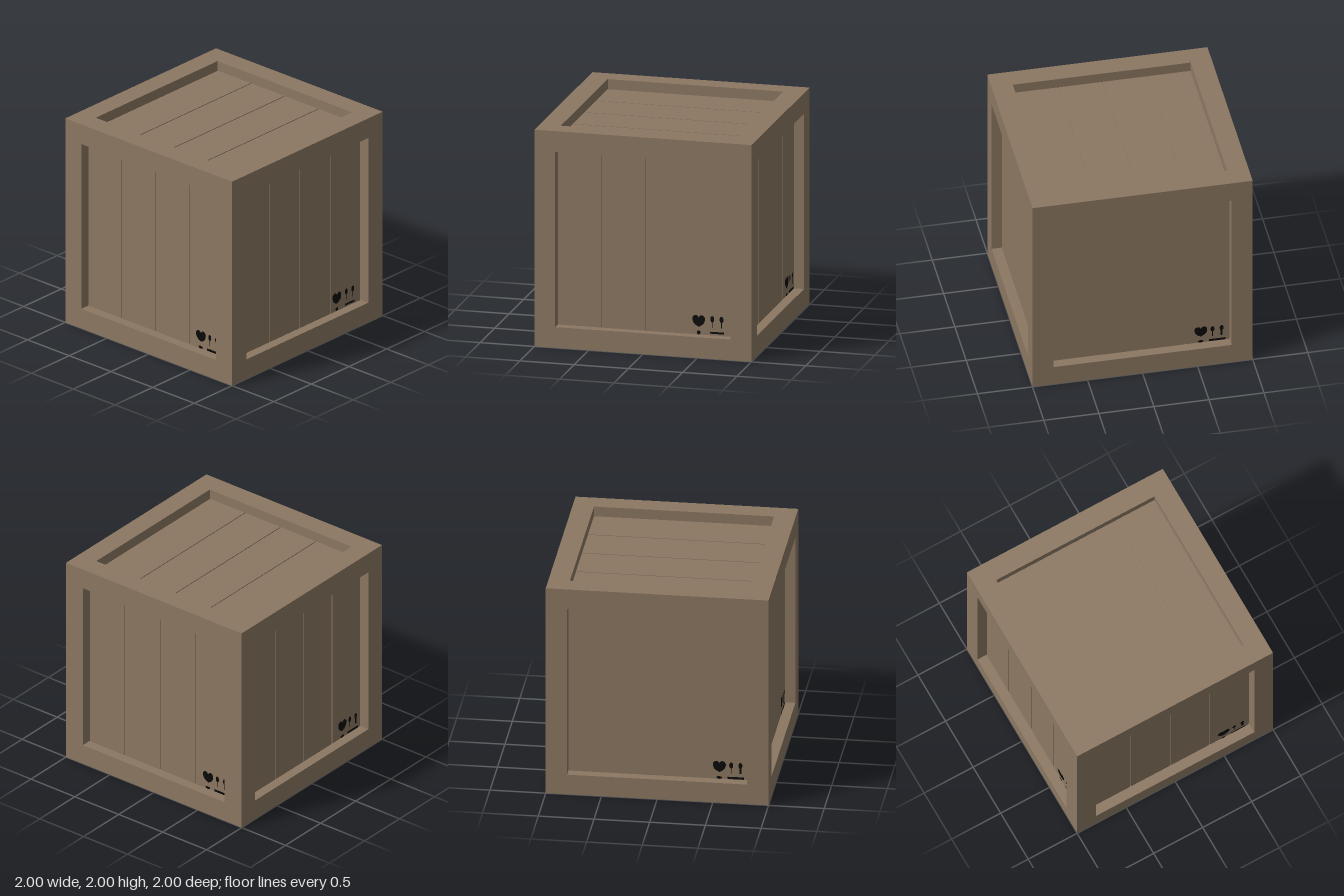
import * as THREE from 'three';

const WOOD = new THREE.MeshStandardMaterial({ name: 'brown wood', color: 0x8c7862 });
const INK = new THREE.MeshStandardMaterial({ name: 'black stencil ink', color: 0x0a0a0a });

const HALF = 1;        // half the crate's size
const BEAM = 0.192;    // frame beam thickness
const INNER = HALF - BEAM;
const FACE = 0.908;    // plank surface, distance from the centre
const GROOVE = 0.01;

function box(name, w, h, d, x, y, z) {
  const mesh = new THREE.Mesh(new THREE.BoxGeometry(w, h, d), WOOD);
  mesh.name = name;
  mesh.position.set(x, y, z);
  return mesh;
}

// Shapes of the stencilled marks, in the plane of a side
function ellipse(x, y, rx, ry) {
  return new THREE.Shape().absellipse(x, y, rx, ry, 0, Math.PI * 2);
}

function bar(x0, x1, y0, y1) {
  return new THREE.Shape([[x0, y0], [x1, y0], [x1, y1], [x0, y1]].map(([x, y]) => new THREE.Vector2(x, y)));
}

function heart(x, y) {
  const s = new THREE.Shape();
  s.moveTo(x, y + 0.03);
  s.bezierCurveTo(x + 0.015, y + 0.065, x + 0.05, y + 0.055, x + 0.058, y + 0.025);
  s.bezierCurveTo(x + 0.06, y - 0.02, x + 0.035, y - 0.04, x, y - 0.055);
  s.bezierCurveTo(x - 0.035, y - 0.04, x - 0.06, y - 0.02, x - 0.058, y + 0.025);
  s.bezierCurveTo(x - 0.05, y + 0.055, x - 0.015, y + 0.065, x, y + 0.03);
  return s;
}

function pin(x, y, stem) {
  return [ellipse(x, y, 0.018, 0.029), bar(x - stem / 2, x + stem / 2, y - 0.08, y - 0.02)];
}

const frontMarks = [
  heart(0.49, 0.32), ...pin(0.615, 0.342, 0.007), ...pin(0.7, 0.342, 0.007),
  ellipse(0.49, 0.212, 0.018, 0.018), bar(0.595, 0.725, 0.208, 0.226),
];
const sideMarks = [
  heart(0.547, 0.315), ...pin(0.653, 0.33, 0.007), ...pin(0.736, 0.33, 0.02),
  ellipse(0.545, 0.206, 0.025, 0.013), bar(0.62, 0.77, 0.196, 0.218),
];

// One recessed side facing +z: four planks and optional marks
function makeSide(name, marks) {
  const side = new THREE.Group();
  side.name = name;
  const pitch = INNER / 2;
  for (let i = 0; i < 4; i++) {
    side.add(box('plank', pitch - GROOVE, INNER * 2 + 0.04, 0.04, (i - 1.5) * pitch, 0, FACE - 0.02));
  }
  if (marks) {
    const mesh = new THREE.Mesh(new THREE.ShapeGeometry(marks, 10), INK);
    mesh.name = 'stencilMarks';
    mesh.position.set(0, -HALF, FACE + 0.003);
    side.add(mesh);
  }
  side.position.y = HALF;
  return side;
}

export function createModel() {
  const crate = new THREE.Group();
  crate.name = 'woodenCrate';

  // Frame: corner posts with rails between them
  const c = HALF - BEAM / 2;
  for (const a of [-1, 1]) {
    for (const b of [-1, 1]) {
      crate.add(box('cornerPost', BEAM, HALF * 2, BEAM, a * c, HALF, b * c));
      crate.add(box('crossRail', INNER * 2, BEAM, BEAM, 0, HALF + a * c, b * c));
      crate.add(box('depthRail', BEAM, BEAM, INNER * 2, a * c, HALF + b * c, 0));
    }
  }

  // Solid core that closes the grooves between planks
  const core = (FACE - 0.008) * 2;
  crate.add(box('core', core, core, core, 0, HALF, 0));

  // Recessed sides
  const q = Math.PI / 2;
  const sides = [
    ['frontSide', [0, 0, 0], frontMarks],
    ['leftSide', [0, q, 0], sideMarks],
    ['backSide', [0, 2 * q, 0], sideMarks],
    ['rightSide', [0, -q, 0], sideMarks],
    ['topSide', [-q, 0, q], null],
    ['bottomSide', [q, 0, 0], null],
  ];
  for (const [name, turn, marks] of sides) {
    const side = makeSide(name, marks);
    side.rotation.set(...turn);
    crate.add(side);
  }
  return crate;
}
